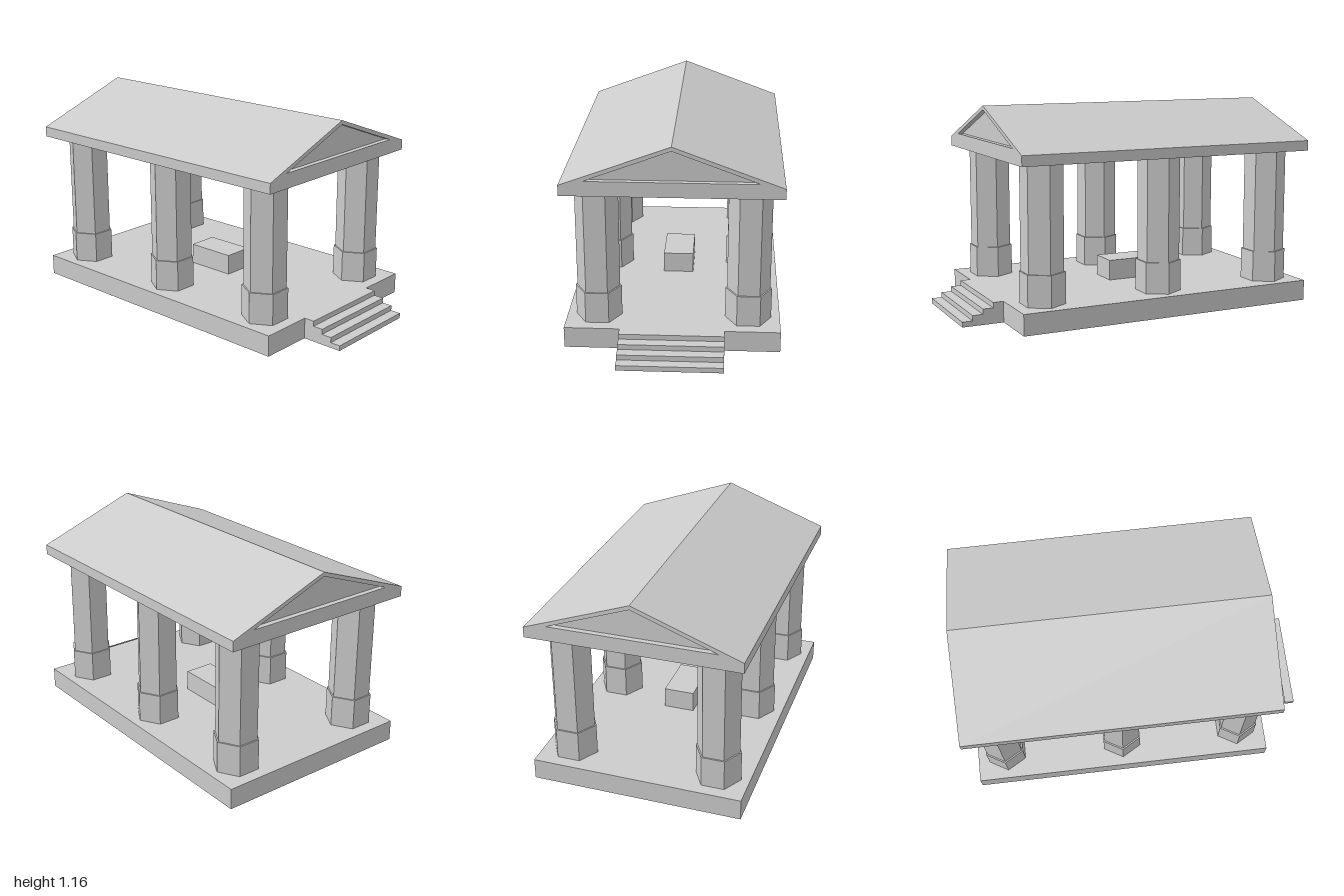
import * as THREE from 'three';

const material = new THREE.MeshStandardMaterial({ color: 0xcccccc, flatShading: true });

const BACK = -1, FRONT = 0.765;      // ends of the floor and roof
const FLOOR = 0.118, EAVES = 0.885;  // heights of the floor and the roof's underside
const HALF_WIDTH = 0.587;

function add(parent, name, geometry, x = 0, y = 0, z = 0) {
  const mesh = new THREE.Mesh(geometry, material);
  mesh.name = name;
  mesh.position.set(x, y, z);
  parent.add(mesh);
  return mesh;
}

const polygon = (points) => new THREE.Shape(points.map(([x, y]) => new THREE.Vector2(x, y)));

// Six-sided prism with corners pointing along x
function hexPrism(radius, height) {
  return new THREE.CylinderGeometry(radius, radius, height, 6).rotateY(Math.PI / 6);
}

function createColumn(x, z) {
  const column = new THREE.Group();
  column.name = 'column';
  const baseHeight = 0.177, shaftHeight = EAVES - FLOOR - baseHeight;
  add(column, 'columnBase', hexPrism(0.127, baseHeight), 0, baseHeight / 2);
  add(column, 'columnShaft', hexPrism(0.118, shaftHeight), 0, baseHeight + shaftHeight / 2);
  column.position.set(x, FLOOR, z);
  return column;
}

// Staircase as one side profile extruded across x
function createStairs() {
  const steps = 4, run = (1 - FRONT) / steps, rise = FLOOR / steps, width = 0.57;
  const points = [[FRONT, 0], [1, 0]];
  for (let i = 0; i < steps; i++) {
    const z = 1 - i * run, y = (i + 1) * rise;
    points.push([z, y], [z - run, y]);
  }
  return new THREE.ExtrudeGeometry(polygon(points), { depth: width, bevelEnabled: false })
    .rotateY(-Math.PI / 2)
    .translate(width / 2, 0, 0);
}

// Gabled roof with a shallow triangular recess at both ends
function createRoof() {
  const roof = new THREE.Group();
  roof.name = 'roof';
  const recess = 0.03;
  const triangle = [[-0.457, 0.967], [0.457, 0.967], [0, 1.137]];
  const gable = polygon([
    [-HALF_WIDTH, EAVES], [HALF_WIDTH, EAVES], [HALF_WIDTH, 0.943], [0, 1.16], [-HALF_WIDTH, 0.943],
  ]);
  gable.holes.push(polygon(triangle));
  add(roof, 'roofBody', new THREE.ExtrudeGeometry(gable, { depth: FRONT - BACK, bevelEnabled: false }), 0, 0, BACK);

  const panel = new THREE.ShapeGeometry(polygon(triangle));
  add(roof, 'frontPediment', panel, 0, 0, FRONT - recess);
  add(roof, 'backPediment', panel, 0, 0, BACK + recess).rotation.y = Math.PI;
  return roof;
}

export function createModel() {
  const temple = new THREE.Group();
  temple.name = 'temple';

  const length = FRONT - BACK, middle = (FRONT + BACK) / 2;
  add(temple, 'floor', new THREE.BoxGeometry(HALF_WIDTH * 2, FLOOR, length), 0, FLOOR / 2, middle);
  add(temple, 'stairs', createStairs());
  add(temple, 'altar', new THREE.BoxGeometry(0.175, 0.118, 0.295), 0, FLOOR + 0.059, middle);

  // Three columns along each side
  for (const x of [-0.412, 0.412]) {
    for (const offset of [-0.706, 0, 0.706]) temple.add(createColumn(x, middle + offset));
  }

  temple.add(createRoof());
  return temple;
}
